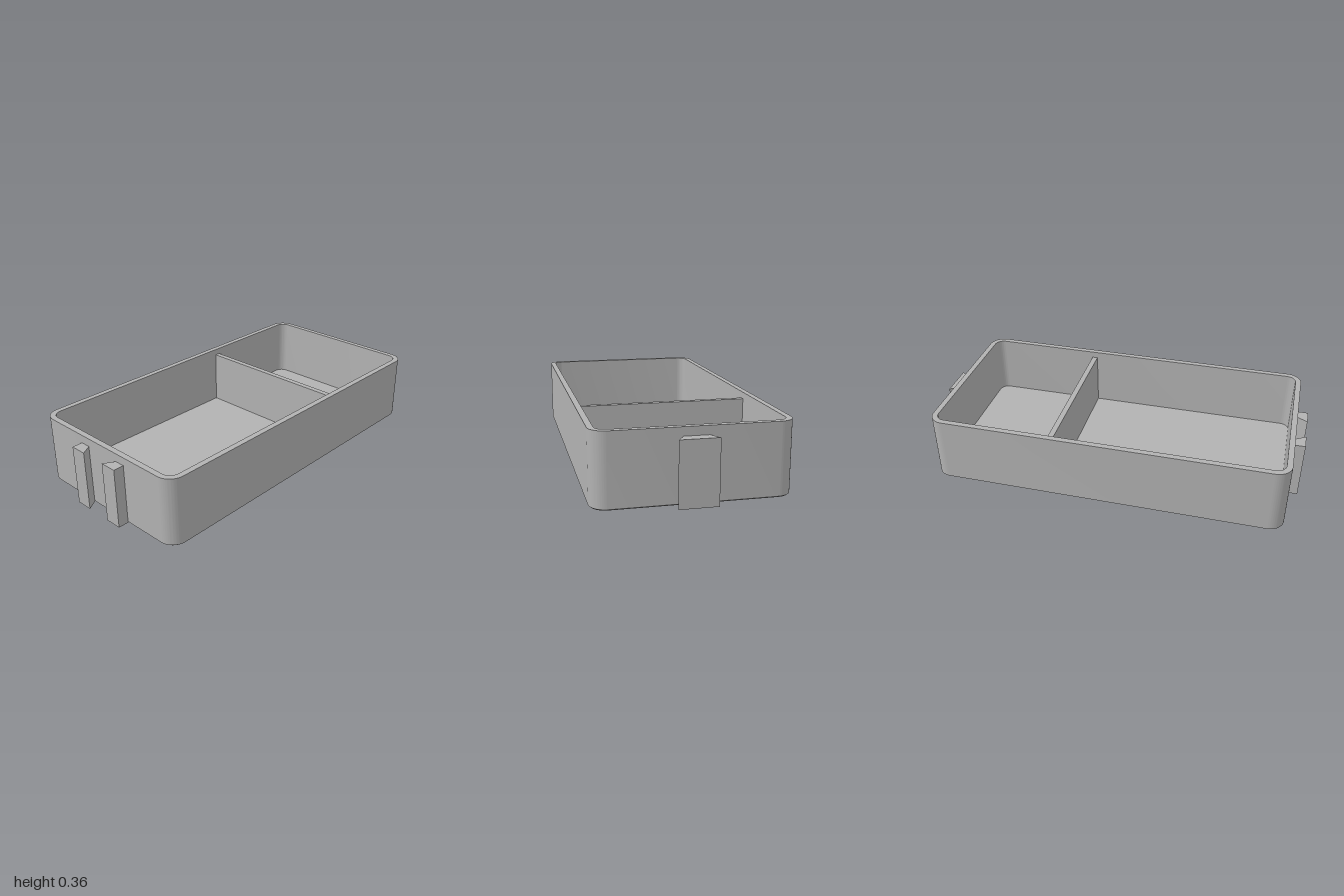
import * as THREE from 'three';
import { toCreasedNormals } from 'three/addons/utils/BufferGeometryUtils.js';

const HALF_X = 0.945, HALF_Z = 0.473, HEIGHT = 0.36;
const WALL = 0.03, FLOOR = 0.03, RADIUS = 0.08, CHAMFER = 0.006;
const RAIL_HEIGHT = 0.317;

// Rounded rectangle outline, pulled in by an inset
function roundedOutline(inset, Type = THREE.Shape) {
  const r = RADIUS - inset, x = HALF_X - RADIUS, z = HALF_Z - RADIUS;
  const s = new Type();
  s.absarc(x, z, r, 0, Math.PI / 2);
  s.absarc(-x, z, r, Math.PI / 2, Math.PI);
  s.absarc(-x, -z, r, Math.PI, Math.PI * 1.5);
  s.absarc(x, -z, r, Math.PI * 1.5, Math.PI * 2);
  s.closePath();
  return s;
}

// Extrude a plan outline straight up
function extrudeUp(shape, depth, options = {}) {
  const g = new THREE.ExtrudeGeometry(shape, { depth, bevelEnabled: false, curveSegments: 12, ...options });
  return toCreasedNormals(g.rotateX(-Math.PI / 2), 0.5);
}

const polygon = (points) => new THREE.Shape(points.map(([x, z]) => new THREE.Vector2(x, z)));

export function createModel() {
  const group = new THREE.Group();
  const grey = new THREE.MeshStandardMaterial({ color: 0xb2b2b2 });
  grey.name = 'grey plastic';

  const add = (name, geometry, x = 0, y = 0, z = 0) => {
    const mesh = new THREE.Mesh(geometry, grey);
    mesh.name = name;
    mesh.position.set(x, y, z);
    group.add(mesh);
  };

  // Hollow wall ring
  const ring = roundedOutline(0);
  ring.holes.push(roundedOutline(WALL, THREE.Path));
  add('walls', extrudeUp(ring, HEIGHT - CHAMFER), 0, CHAMFER);

  // Floor with a fine chamfer round the underside
  add('floor', extrudeUp(roundedOutline(CHAMFER + 0.001), FLOOR - 2 * CHAMFER, {
    bevelEnabled: true, bevelThickness: CHAMFER, bevelSize: CHAMFER, bevelSegments: 1,
  }), 0, CHAMFER);

  // Divider, a little lower than the rim
  const dividerHeight = 0.325 - FLOOR;
  add('divider', new THREE.BoxGeometry(0.03, dividerHeight, 2 * (HALF_Z - WALL) + 0.02),
    0.287, FLOOR + dividerHeight / 2);

  // Dovetail tongue on the left end
  const inner = HALF_X - 0.005;
  add('dovetailTongue', extrudeUp(polygon([
    [inner, -0.057], [1, -0.095], [1, 0.095], [inner, 0.057],
  ]), RAIL_HEIGHT));

  // Pair of rails forming the matching socket on the right end
  for (const [name, s] of [['frontSocketRail', -1], ['backSocketRail', 1]]) {
    add(name, extrudeUp(polygon([
      [-inner, 0.157 * s], [-1, 0.157 * s], [-1, 0.069 * s], [-inner, 0.105 * s],
    ]), RAIL_HEIGHT));
  }
  return group;
}
